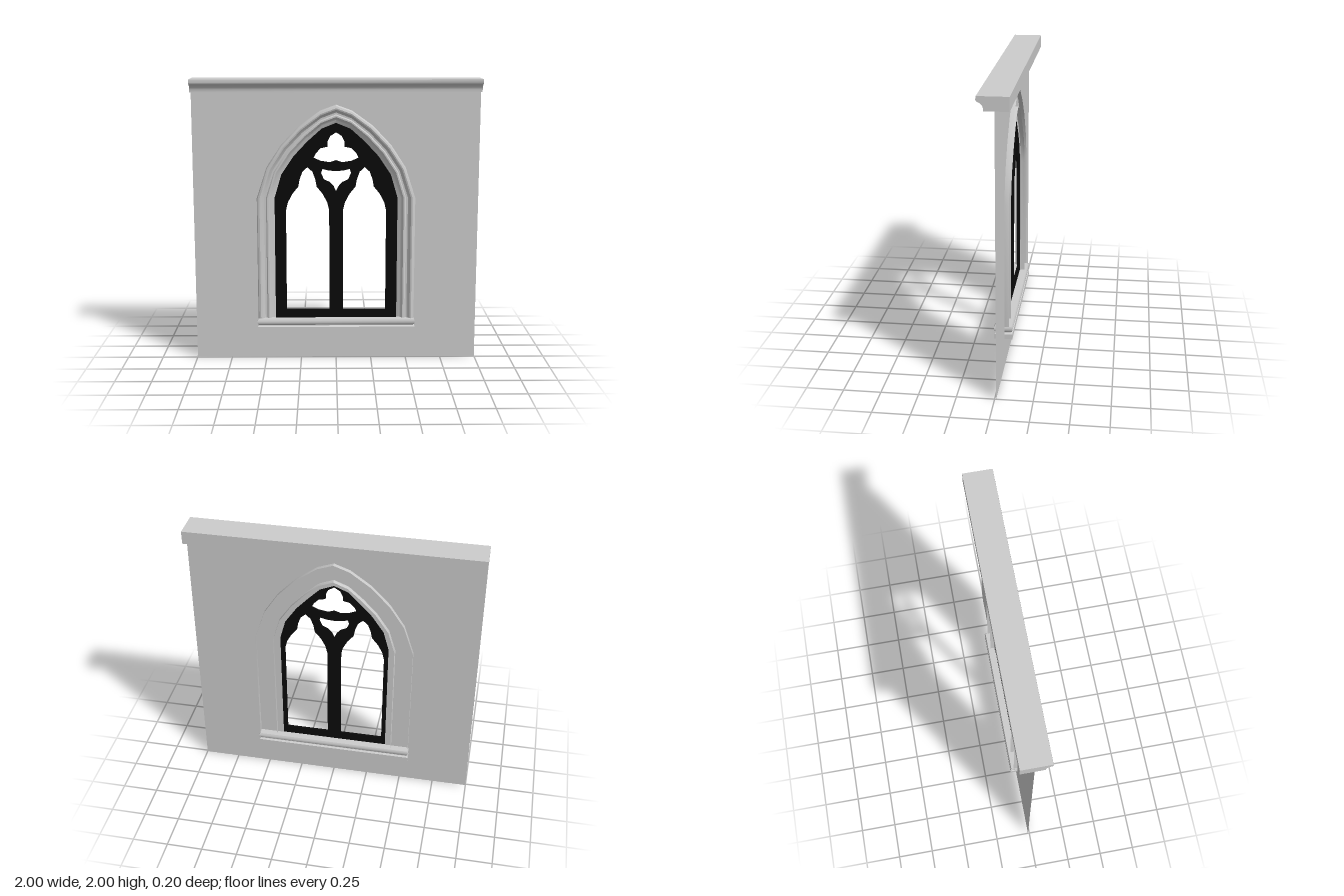
import * as THREE from 'three';
import { toCreasedNormals } from 'three/addons/utils/BufferGeometryUtils.js';

const stone = new THREE.MeshStandardMaterial({ color: 0xcccccc });
const stoneThin = new THREE.MeshStandardMaterial({ color: 0xcccccc, side: THREE.DoubleSide });
const dark = new THREE.MeshStandardMaterial({ color: 0x0a0a0a });

// Right half of the pointed arch, springing to apex: [inner x, y, outer x, y]
const ARCH = [
  [0.427, 1.17, 0.555, 1.17], [0.38, 1.33, 0.485, 1.385], [0.293, 1.46, 0.384, 1.54],
  [0.2, 1.56, 0.256, 1.675], [0.1, 1.65, 0.11, 1.78], [0, 1.69, 0, 1.82],
];

// Mirror a right-hand half outline that ends on the centre line
const mirrored = (half) => [
  ...half, ...half.slice(0, -1).reverse().map(([x, y]) => [-x, y]),
];

// Arched outline: t = 0 is the inner edge of the frame, t = 1 the outer edge
function archPath(t, bottom) {
  const half = ARCH.map(([ix, iy, ox, oy]) => [ix + (ox - ix) * t, iy + (oy - iy) * t]);
  return mirrored([[half[0][0], bottom], ...half]);
}

const toVectors = (pts, dx = 0) => pts.map(([x, y]) => new THREE.Vector2(x + dx, y));

// Skin a row of cross-sections that share a point count
function loft(rings, closed, crease) {
  const n = rings[0].length;
  const index = [];
  for (let i = 0; i < rings.length - 1; i++) {
    for (let j = 0; j < (closed ? n : n - 1); j++) {
      const k = (j + 1) % n;
      const a = i * n + j, b = i * n + k, c = a + n, d = b + n;
      index.push(a, b, d, a, d, c);
    }
  }
  const geo = new THREE.BufferGeometry();
  geo.setAttribute('position', new THREE.Float32BufferAttribute(rings.flat(2), 3));
  geo.setIndex(index);
  return toCreasedNormals(geo, crease);
}

function add(group, name, geometry, material) {
  const mesh = new THREE.Mesh(geometry, material);
  mesh.name = name;
  group.add(mesh);
  return mesh;
}

export function createModel() {
  const group = new THREE.Group();
  group.name = 'gothicWindowWall';

  // Thin wall with an arched opening
  const wall = new THREE.Shape(toVectors([[-1, 0], [1, 0], [1, 1.92], [-1, 1.92]]));
  wall.holes.push(new THREE.Path(toVectors(archPath(-0.35, 0.25))));
  add(group, 'wall', new THREE.ShapeGeometry(wall), stoneThin).position.z = -0.01;

  // Cornice: moulded profile (z, y) run along x
  const cornice = new THREE.Shape(toVectors([
    [-0.1, 1.91], [0.058, 1.91], [0.058, 1.93], [0.063, 1.942], [0.072, 1.953],
    [0.085, 1.962], [0.097, 1.967], [0.103, 1.978], [0.1, 2], [-0.1, 2],
  ]));
  const corniceGeo = new THREE.ExtrudeGeometry(cornice, { depth: 2, bevelEnabled: false });
  corniceGeo.rotateY(-Math.PI / 2).translate(1, 0, 0);
  add(group, 'cornice', toCreasedNormals(corniceGeo, 0.7), stone);

  // Window frame: stepped moulding (t across the frame, z) swept round the arch
  const moulding = [
    [1, -0.04], [1, 0.02], [0.95, 0.034], [0.84, 0.04], [0.76, 0.037], [0.68, 0.022],
    [0.6, 0.014], [0.5, 0.014], [0.44, 0.022], [0.36, 0.022], [0.28, 0.01],
    [0.2, 0.0], [0.08, -0.004], [0, -0.012], [0, -0.04],
  ];
  const frame = moulding.map(([t, z]) => archPath(t, 0.29).map(([x, y]) => [x, y, z]));
  add(group, 'windowFrame', loft(frame, false, 0.6), stoneThin);

  // Tracery: one plate pierced by two lancets, a centre light and a trefoil
  const lancet = mirrored([
    [0.152, 0.36], [0.152, 1.08], [0.137, 1.14], [0.105, 1.2], [0.064, 1.25],
    [0.055, 1.3], [0.035, 1.355], [0, 1.387],
  ]);
  const centreLight = mirrored([
    [0, 1.215], [0.016, 1.25], [0.043, 1.28], [0.085, 1.3], [0.105, 1.345],
    [0.095, 1.375], [0.05, 1.363], [0, 1.36],
  ]).slice(0, -1);
  const trefoil = mirrored([
    [0, 1.435], [0.043, 1.42], [0.107, 1.43], [0.157, 1.452], [0.14, 1.485], [0.107, 1.52],
    [0.06, 1.53], [0.06, 1.565], [0.04, 1.605], [0, 1.63],
  ]).slice(0, -1);
  const plate = new THREE.Shape(toVectors(archPath(0.03, 0.28)));
  for (const [pts, dx] of [[lancet, -0.2], [lancet, 0.2], [centreLight, 0], [trefoil, 0]]) {
    plate.holes.push(new THREE.Path(toVectors(pts, dx)));
  }
  const plateGeo = new THREE.ExtrudeGeometry(plate, { depth: 0.015, bevelEnabled: false });
  add(group, 'tracery', plateGeo, dark).position.z = -0.006;

  // Sill: two rounded courses with a groove between, as stacked rectangles [inset, y]
  const courses = [
    [0.06, 0.21], [0, 0.21], [0, 0.245], [0.012, 0.253], [0.012, 0.257], [0.004, 0.264],
    [0, 0.273], [0, 0.288], [0.006, 0.3], [0.06, 0.3],
  ];
  const sill = courses.map(([inset, y]) => {
    const x = 0.56 - inset, z = 0.063 - inset;
    return [[-x, y, z], [x, y, z], [x, y, -z], [-x, y, -z]];
  });
  add(group, 'sill', loft(sill, true, 0.6), stone);
  // Close the middle of the sill's top and underside
  const core = new THREE.BoxGeometry(1.004, 0.09, 0.01);
  add(group, 'sillCore', core, stone).position.y = 0.255;

  return group;
}
